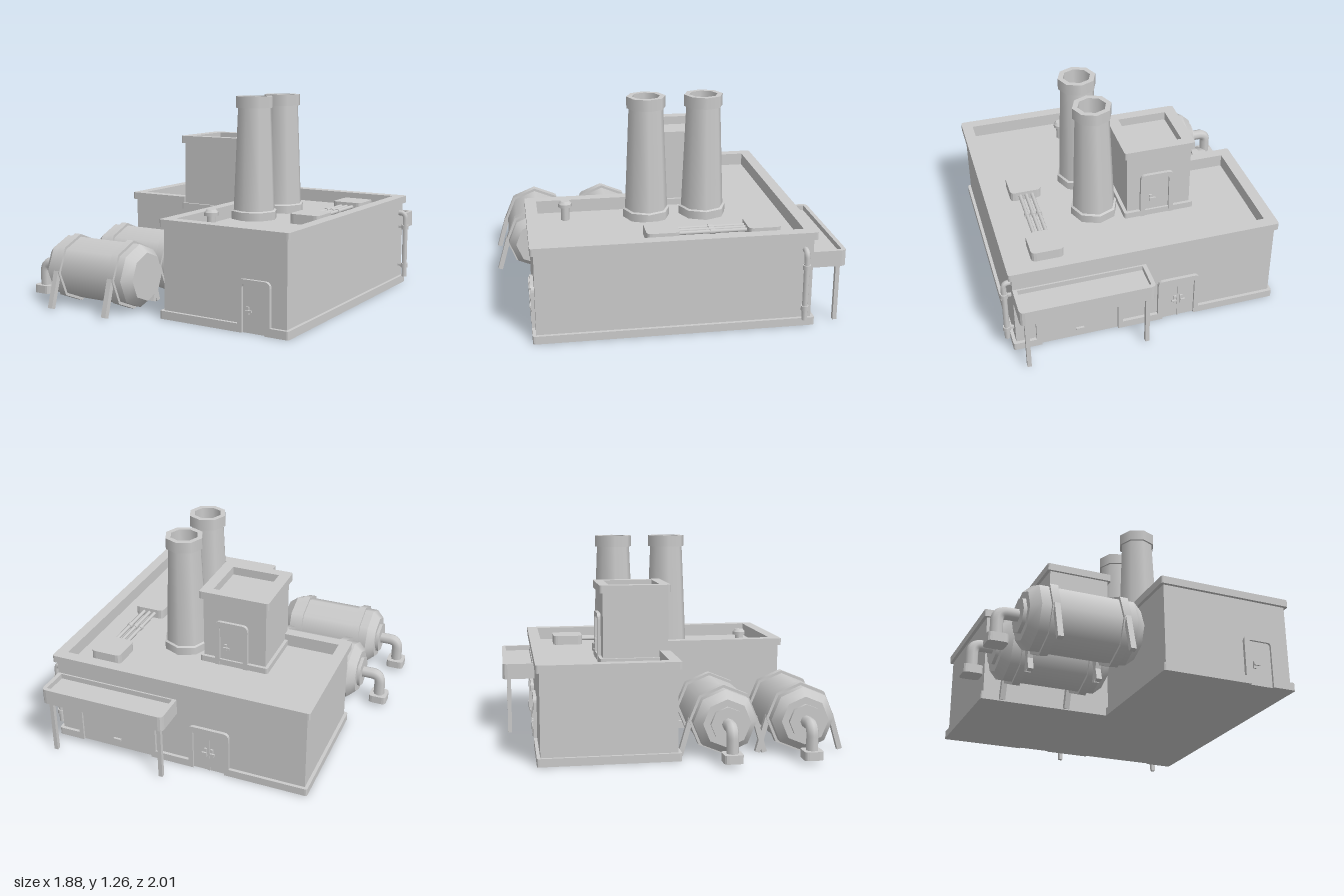
import * as THREE from 'three';

const mat = new THREE.MeshStandardMaterial({ color: 0xcccccc, side: THREE.DoubleSide });

function add(parent, name, geo, x = 0, y = 0, z = 0) {
  const m = new THREE.Mesh(geo, mat);
  m.name = name;
  m.position.set(x, y, z);
  parent.add(m);
  return m;
}
const box = (p, n, w, h, d, x, y, z) => add(p, n, new THREE.BoxGeometry(w, h, d), x, y, z);

// Polygon from [x, y, cornerRadius] points
function poly(pts, Type = THREE.Shape) {
  const s = new Type();
  pts.forEach(([x, y, r = 0], i) => {
    const c = new THREE.Vector2(x, y);
    const toward = q => c.clone().add(new THREE.Vector2(q[0], q[1]).sub(c).setLength(r));
    const a = toward(pts[(i + pts.length - 1) % pts.length]);
    const b = toward(pts[(i + 1) % pts.length]);
    if (i === 0) s.moveTo(a.x, a.y); else s.lineTo(a.x, a.y);
    if (r) s.quadraticCurveTo(x, y, b.x, b.y);
  });
  s.closePath();
  return s;
}
const rect = (x0, x1, z0, z1, r = 0) => [[x0, z0, r], [x1, z0, r], [x1, z1, r], [x0, z1, r]];

// Plan outline (x, z) raised from y0 to y1
function slab(parent, name, pts, y0, y1, hole) {
  const flip = a => a.map(([x, z, r]) => [x, -z, r]);
  const s = poly(flip(pts));
  if (hole) s.holes.push(poly(flip(hole), THREE.Path));
  const g = new THREE.ExtrudeGeometry(s, { depth: y1 - y0, bevelEnabled: false, curveSegments: 3 });
  return add(parent, name, g.rotateX(-Math.PI / 2), 0, y0, 0);
}

// Eight-sided turned part, vertices on the axes
function turned(parent, name, profile, x, y, z, sides = 8) {
  const g = new THREE.LatheGeometry(profile.map(p => new THREE.Vector2(...p)), sides);
  return add(parent, name, g, x, y, z);
}
// Doubling the points keeps the edges between bands crisp
function bands(...pts) {
  const out = [];
  for (let i = 0; i < pts.length - 1; i++) out.push(pts[i], pts[i + 1]);
  return out;
}

// Framed door facing +z, with its back on z = 0
function door(parent, name, w, h, kind) {
  const g = new THREE.Group();
  g.name = name;
  parent.add(g);
  const a = w / 2, b = a - 0.03, t = h - 0.027;
  const ext = (s, d) => new THREE.ExtrudeGeometry(s, { depth: d, bevelEnabled: false, curveSegments: 4 });
  add(g, 'doorFrame', ext(poly([[-a, 0], [-b, 0], [-b, t, 0.02], [b, t, 0.02], [b, 0], [a, 0], [a, h, 0.035], [-a, h, 0.035]]), 0.02));
  add(g, 'doorPanel', ext(poly([[-b, 0], [b, 0], [b, t, 0.02], [-b, t, 0.02]]), 0.006));
  if (kind === 'single') {
    box(g, 'handlePlate', 0.016, 0.045, 0.012, -0.04, 0.125, 0.01);
    box(g, 'handleLever', 0.04, 0.012, 0.01, -0.03, 0.125, 0.021);
  } else if (kind === 'double') {
    box(g, 'doorSeam', 0.012, t, 0.01, 0, t / 2, 0.006);
    for (const s of [-1, 1]) {
      box(g, 'handlePlate', 0.016, 0.06, 0.012, s * 0.02, 0.13, 0.01);
      box(g, 'handleLever', 0.03, 0.012, 0.01, s * 0.027, 0.13, 0.021);
    }
  } else {
    box(g, 'pullHandle', 0.05, 0.014, 0.016, 0, 0.06, 0.012);
  }
  return g;
}

function building(root) {
  const c = 0.015;
  slab(root, 'walls', [[-0.73, -0.8], [0.87, -0.8], [0.87, 0.8], [0.07, 0.8], [0.07, -0.01], [-0.73, -0.01]], 0, 0.5);
  // Plinth, notched where the doors stand
  const notch = (x0, x1, z, zi) => [[x0, z], [x0, zi], [x1, zi], [x1, z]];
  slab(root, 'plinth', [[-0.75, -0.82, c], ...notch(-0.26, 0, -0.82, -0.79), ...notch(0.22, 0.75, -0.82, -0.79),
    [0.89, -0.82, c], [0.89, 0.82, c], ...notch(0.775, 0.57, 0.82, 0.79), [0.05, 0.82, c], [0.05, 0.01], [-0.75, 0.01, c]], 0, 0.048);
  // Parapet runs round the roof from one side of the tower to the other
  const parapet = (o, r) => [[-0.33, -0.01 + o], [-0.73 - o, -0.01 + o, r], [-0.73 - o, -0.8 - o, r], [0.87 + o, -0.8 - o, r],
    [0.87 + o, 0.8 + o, r], [0.07 - o, 0.8 + o, r], [0.07 - o, -0.01], [0.12, -0.01],
    [0.12, 0.75], [0.82, 0.75], [0.82, -0.75], [-0.68, -0.75], [-0.68, -0.055], [-0.33, -0.055]];
  slab(root, 'parapetWall', parapet(0, 0), 0.5, 0.535);
  slab(root, 'parapetCap', parapet(0.02, c), 0.535, 0.58);

  // Roof tower
  slab(root, 'towerBody', rect(-0.33, 0.07, -0.4, -0.005), 0.5, 0.93);
  slab(root, 'towerBase', rect(-0.35, 0.09, -0.42, 0.012, c), 0.502, 0.54);
  slab(root, 'towerCap', rect(-0.35, 0.09, -0.42, 0.012, c), 0.935, 0.982, rect(-0.28, 0.02, -0.36, -0.05));
  slab(root, 'towerRim', rect(-0.33, 0.07, -0.4, -0.005), 0.925, 0.94, rect(-0.28, 0.02, -0.36, -0.05));

  // Doors
  door(root, 'frontDoor', 0.205, 0.3, 'single').position.set(0.6725, 0, 0.8);
  const back = [['garageDoor', 0.53, 0.3, 'wide', 0.485, 0, -0.8], ['doubleDoor', 0.26, 0.3, 'double', -0.13, 0, -0.8],
    ['towerDoor', 0.21, 0.3, 'single', -0.115, 0.5, -0.402]];
  for (const [n, w, h, k, x, y, z] of back) {
    const d = door(root, n, w, h, k);
    d.position.set(x, y, z);
    d.rotation.y = Math.PI;
  }
}

function roofParts(root) {
  // Hollow tapered chimneys
  for (const z of [-0.27, 0.08]) {
    turned(root, 'chimney', bands([0.134, 0.5], [0.105, 1.185], [0.118, 1.185], [0.118, 1.255], [0.085, 1.255], [0.085, 1.0], [0, 1.0]), 0.245, 0, z);
    turned(root, 'chimneyBase', bands([0.145, 0.5], [0.145, 0.55], [0.125, 0.56]), 0.245, 0, z);
  }
  // Vent with a mushroom cap
  turned(root, 'roofVent', bands([0.026, 0.5], [0.026, 0.585], [0.042, 0.585], [0.042, 0.605], [0.028, 0.622], [0, 0.622]), 0.25, 0, 0.58);
  // Two roof units joined by pipes
  for (const z of [-0.65, -0.05]) slab(root, 'roofUnit', rect(0.525, 0.72, z, z + 0.195, 0.03), 0.5, 0.56);
  for (const x of [0.585, 0.622, 0.66]) {
    const rod = (n, r, l) => { add(root, n, new THREE.CylinderGeometry(r, r, l, 8), x, 0.532, -0.25).rotation.x = Math.PI / 2; };
    rod('roofPipe', 0.012, 0.42);
    rod('roofPipeCollar', 0.017, 0.03);
  }
}

function canopyAndDrain(root) {
  // Canopy over the garage door
  const outer = [[0.075, -0.8], [0.075, -1, 0.03], [0.87, -1, 0.03], [0.87, -0.8]];
  const inner = [[0.1, -0.81], [0.1, -0.975], [0.845, -0.975], [0.845, -0.81]];
  slab(root, 'canopyDeck', outer, 0.355, 0.42);
  slab(root, 'canopyRim', outer, 0.42, 0.452, inner);
  for (const x of [0.115, 0.83]) box(root, 'canopyPost', 0.025, 0.36, 0.025, x, 0.18, -0.96);
  // Drainpipe with an elbow into the wall
  const path = new THREE.CurvePath();
  const v = (x, y) => new THREE.Vector3(x, y, -0.75);
  path.add(new THREE.LineCurve3(v(0.912, 0.05), v(0.912, 0.44)));
  path.add(new THREE.QuadraticBezierCurve3(v(0.912, 0.44), v(0.912, 0.472), v(0.88, 0.472)));
  path.add(new THREE.LineCurve3(v(0.88, 0.472), v(0.86, 0.472)));
  add(root, 'drainpipe', new THREE.TubeGeometry(path, 40, 0.017, 8));
  for (const y of [0.125, 0.38]) {
    add(root, 'drainpipeCollar', new THREE.CylinderGeometry(0.024, 0.024, 0.028, 8), 0.912, y, -0.75);
    box(root, 'drainpipeBracket', 0.05, 0.016, 0.016, 0.885, y, -0.75);
  }
}

function tank(root, z) {
  const g = new THREE.Group();
  g.name = 'storageTank';
  g.position.set(0, 0.212, z);
  root.add(g);
  // Profile runs along +x once laid down
  const lay = m => { m.rotation.z = -Math.PI / 2; };
  lay(turned(g, 'tankShell', bands([0, -0.77], [0.1, -0.77], [0.1, -0.75], [0.142, -0.75], [0.19, -0.7], [0.19, -0.15], [0.145, -0.095], [0, -0.095]), 0, 0, 0));
  for (const x of [-0.622, -0.217]) {
    lay(turned(g, 'tankStrap', bands([0.185, -0.023], [0.207, -0.023], [0.207, 0.023], [0.185, 0.023]), x, 0, 0));
    for (const s of [-1, 1]) {
      // Splayed leg
      const leg = box(g, 'tankLeg', 0.032, 0.225, 0.03, x, -0.1, s * 0.223);
      leg.rotation.x = -s * 0.28;
    }
  }
  // Outlet pipe bending down to a foot
  const v = (x, y) => new THREE.Vector3(x, y, 0);
  const path = new THREE.CurvePath();
  path.add(new THREE.LineCurve3(v(-0.76, 0), v(-0.83, 0)));
  path.add(new THREE.QuadraticBezierCurve3(v(-0.83, 0), v(-0.885, 0), v(-0.885, -0.055)));
  path.add(new THREE.LineCurve3(v(-0.885, -0.055), v(-0.885, -0.16)));
  add(g, 'outletPipe', new THREE.TubeGeometry(path, 24, 0.036, 8));
  slab(g, 'outletFoot', rect(-0.942, -0.828, -0.056, 0.056, 0.025), -0.19, -0.14);
}

export function createModel() {
  const root = new THREE.Group();
  root.name = 'factory';
  building(root);
  roofParts(root);
  canopyAndDrain(root);
  for (const z of [0.272, 0.738]) tank(root, z);
  return root;
}
